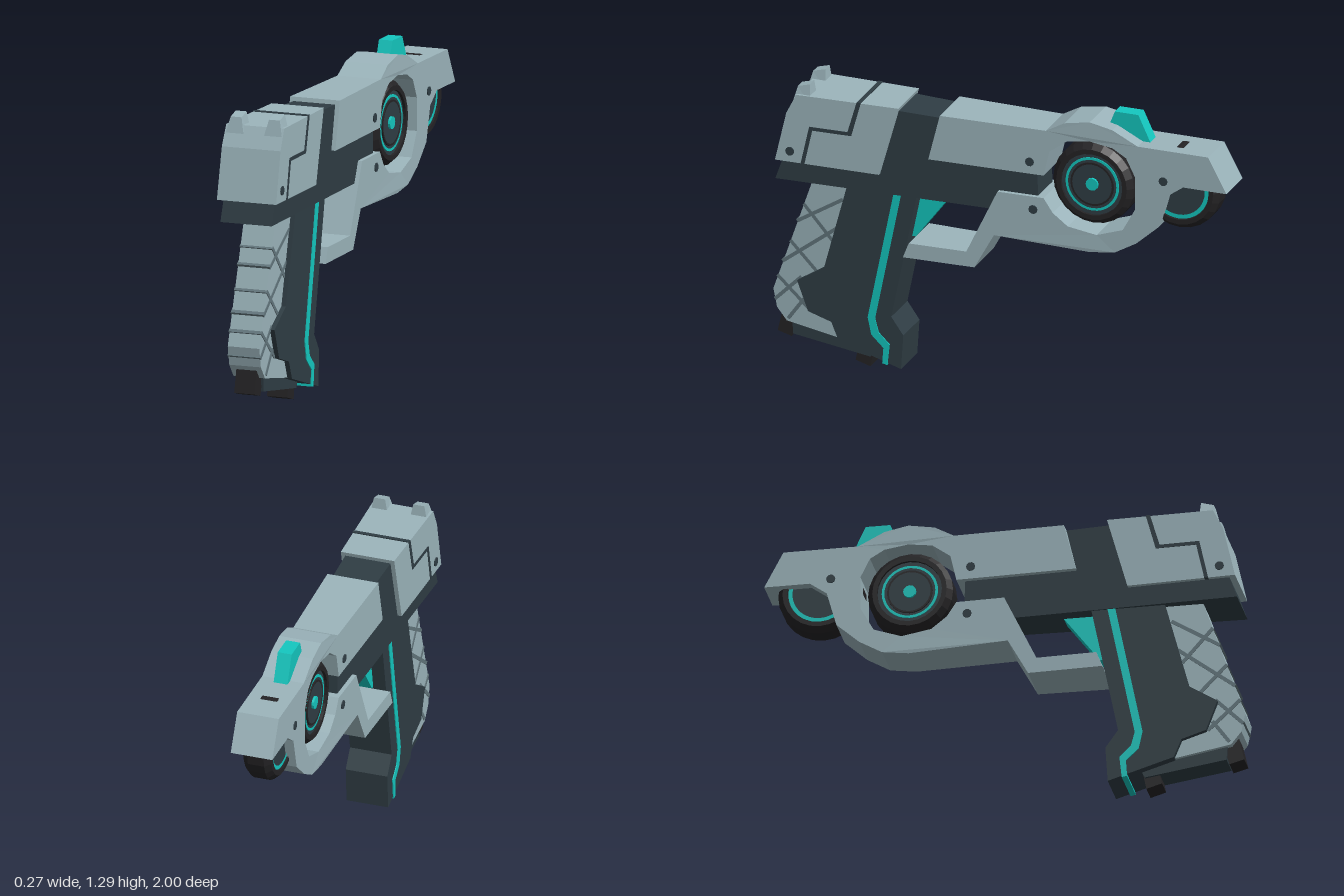
import * as THREE from 'three';

const mat = (name, color) => {
  const m = new THREE.MeshStandardMaterial({ color });
  m.name = name;
  return m;
};

export function createModel() {
  const light = mat('pale steel', 0x9cb5bc);
  const dark = mat('dark slate', 0x2f3d44);
  const teal = mat('teal', 0x14c8c0);
  const black = mat('black', 0x242325);
  const groove = mat('groove grey', 0x62757c);

  const model = new THREE.Group();
  model.name = 'pistol';

  // Half width of the upper body: widest at the rear, tapering to the muzzle
  const bodyWidth = (z) => Math.max(0.09, 0.1025 + 0.03 * z);
  const raised = (d) => (z) => bodyWidth(z) + d;

  // Side profile given as [z, y], extruded across x; half width may depend on z and y
  function slab(name, material, points, halfWidth, parent = model, hole) {
    const toVec = ([z, y]) => new THREE.Vector2(-z, y);
    const shape = new THREE.Shape(points.map(toVec));
    if (hole) shape.holes.push(new THREE.Path(hole.map(toVec)));
    const geo = new THREE.ExtrudeGeometry(shape, { depth: 2, bevelEnabled: false });
    geo.translate(0, 0, -1).rotateY(Math.PI / 2);
    const p = geo.attributes.position;
    for (let i = 0; i < p.count; i++) {
      const w = typeof halfWidth === 'function' ? halfWidth(p.getZ(i), p.getY(i)) : halfWidth;
      p.setX(i, p.getX(i) * w);
    }
    geo.computeVertexNormals();
    const mesh = new THREE.Mesh(geo, material);
    mesh.name = name;
    parent.add(mesh);
    return mesh;
  }

  const circle = (z, y, r, n) => Array.from({ length: n }, (_, i) => {
    const a = (i / n) * Math.PI * 2;
    return [z + r * Math.cos(a), y + r * Math.sin(a)];
  });

  // Straight bar between two profile points
  function bar(name, material, [z0, y0], [z1, y1], thick, halfWidth) {
    const len = Math.hypot(z1 - z0, y1 - y0);
    const dz = (-(y1 - y0) / len) * thick / 2;
    const dy = ((z1 - z0) / len) * thick / 2;
    slab(name, material, [[z0 + dz, y0 + dy], [z1 + dz, y1 + dy],
      [z1 - dz, y1 - dy], [z0 - dz, y0 - dy]], halfWidth);
  }

  // Barrel housing, open ring and trigger guard in one outline
  slab('barrelHousing', light, [
    [0.30, 0.99], [0.25, 1.19], [-0.21, 1.19], [-0.29, 1.235], [-0.40, 1.255], [-0.50, 1.235],
    [-0.61, 1.18], [-0.92, 1.18], [-1.0, 1.03], [-0.81, 1.03], [-0.74, 0.98], [-0.70, 0.835],
    [-0.605, 0.75], [-0.51, 0.695], [-0.40, 0.68], [0.015, 0.695], [0.10, 0.54], [0.41, 0.54],
    [0.385, 0.605], [0.135, 0.605], [0, 0.89], [-0.20, 0.89], [-0.24, 0.83], [-0.305, 0.78],
    [-0.43, 0.76], [-0.545, 0.80], [-0.60, 0.90], [-0.60, 1.04], [-0.56, 1.12], [-0.50, 1.155],
    [-0.40, 1.17], [-0.30, 1.155], [-0.225, 1.10], [-0.20, 0.99],
  ], bodyWidth);

  // Dark inner frame and lower rail
  slab('frame', dark, [
    [0.97, 0.803], [0.938, 0.895], [0.515, 0.895], [0.435, 1.178], [0.257, 1.173],
    [0.30, 0.988], [-0.166, 0.988], [-0.17, 0.89], [0, 0.89], [0.035, 0.803],
  ], raised(-0.018));

  // Rear slide with panel seam and two sight posts
  slab('slide', light, [
    [0.965, 0.893], [0.916, 1.107], [0.873, 1.193], [0.43, 1.195], [0.515, 0.89],
  ], bodyWidth);
  slab('slideSeam', dark, [
    [0.853, 0.892], [0.816, 1.06], [0.65, 1.06], [0.61, 1.198], [0.592, 1.198],
    [0.634, 1.045], [0.803, 1.045], [0.837, 0.892],
  ], raised(0.002));
  for (const side of [1, -1]) {
    const post = slab('sightPost', light, [
      [0.892, 1.15], [0.873, 1.225], [0.82, 1.24], [0.812, 1.15],
    ], (z, y) => (y > 1.2 ? 0.024 : 0.042));
    post.position.x = side * 0.085;
  }
  slab('frontSight', teal, [
    [-0.45, 1.20], [-0.487, 1.293], [-0.59, 1.293], [-0.645, 1.175], [-0.6, 1.16],
  ], 0.03);

  // Bolts showing on both sides
  for (const [z, y] of [[0.90, 0.94], [-0.14, 1.043], [-0.155, 0.834], [-0.723, 1.043]])
    slab('bolt', dark, circle(z, y, 0.019, 10), raised(0.004));

  // Wheels: tyre, hub disc, teal ring and optional hub cap
  function wheel(name, z, y, h, ringRadius, ringWidth, cap) {
    const g = new THREE.Group();
    g.name = name;
    const profile = [[0.135, -h + 0.015], [0.135, -h], [0.155, -h], [0.177, -h + 0.025],
      [0.177, h - 0.025], [0.155, h], [0.135, h], [0.135, h - 0.015]]
      .map(([r, t]) => new THREE.Vector2(r, t));
    const geo = new THREE.LatheGeometry(profile, 24).toNonIndexed();
    geo.computeVertexNormals();
    const tyre = new THREE.Mesh(geo.rotateZ(Math.PI / 2), black);
    tyre.name = 'tyre';
    g.add(tyre);
    slab('hubDisc', dark, circle(0, 0, 0.137, 24), h - 0.012, g);
    slab('glowRing', teal, circle(0, 0, ringRadius, 32), h - 0.008, g,
      circle(0, 0, ringRadius - ringWidth, 32));
    if (cap) {
      slab('innerRing', black, circle(0, 0, 0.095, 24), h - 0.006, g, circle(0, 0, 0.087, 24));
      slab('hubCap', teal, circle(0, 0, 0.027, 12), h - 0.002, g);
    }
    g.position.set(0, y, z);
    model.add(g);
  }
  wheel('ringWheel', -0.40, 0.97, 0.07, 0.117, 0.011, true);
  wheel('muzzleWheel', -0.775, 1.005, 0.06, 0.132, 0.017, false);

  // Trigger
  slab('trigger', teal, [[0.43, 0.81], [0.23, 0.81], [0.385, 0.605], [0.42, 0.605]], 0.035);

  // Grip core with a teal stripe
  slab('grip', dark, [
    [0.664, 0.81], [0.766, 0.428], [0.884, 0.353], [0.836, 0.225], [0.734, 0.193],
    [0.702, 0.115], [0.428, 0.032], [0.418, 0.182], [0.471, 0.257], [0.359, 0.81],
  ], 0.09);
  slab('gripStripe', teal, [
    [0.46, 0.803], [0.428, 0.803], [0.541, 0.241], [0.525, 0.18], [0.477, 0.134], [0.487, 0.042],
    [0.509, 0.046], [0.504, 0.115], [0.557, 0.166], [0.573, 0.241],
  ], 0.094);

  // Pale backstrap with crossing grooves
  slab('backstrap', light, [
    [0.82, 0.81], [0.996, 0.294], [0.98, 0.214], [0.937, 0.16], [0.70, 0.118], [0.62, 0.3], [0.62, 0.81],
  ], 0.07);
  const grooves = [
    [[0.862, 0.69], [0.735, 0.545]], [[0.891, 0.61], [0.69, 0.735]],
    [[0.921, 0.52], [0.80, 0.395]], [[0.955, 0.422], [0.715, 0.605]],
    [[0.977, 0.358], [0.84, 0.23]], [[0.988, 0.25], [0.872, 0.365]],
    [[0.93, 0.172], [0.86, 0.27]],
  ];
  for (const [a, b] of grooves) bar('gripGroove', groove, a, b, 0.015, 0.073);

  // Magazine base and its two feet
  slab('magazineBase', dark, [
    [0.92, 0.175], [0.70, 0.125], [0.56, 0.08], [0.575, 0.05], [0.915, 0.10],
  ], 0.055);
  slab('rearFoot', black, [[0.965, 0.195], [0.90, 0.175], [0.925, 0.083], [0.987, 0.10]], 0.045);
  slab('frontFoot', black, [[0.632, 0.085], [0.567, 0.068], [0.58, 0.003], [0.645, 0.022]], 0.045);

  return model;
}
